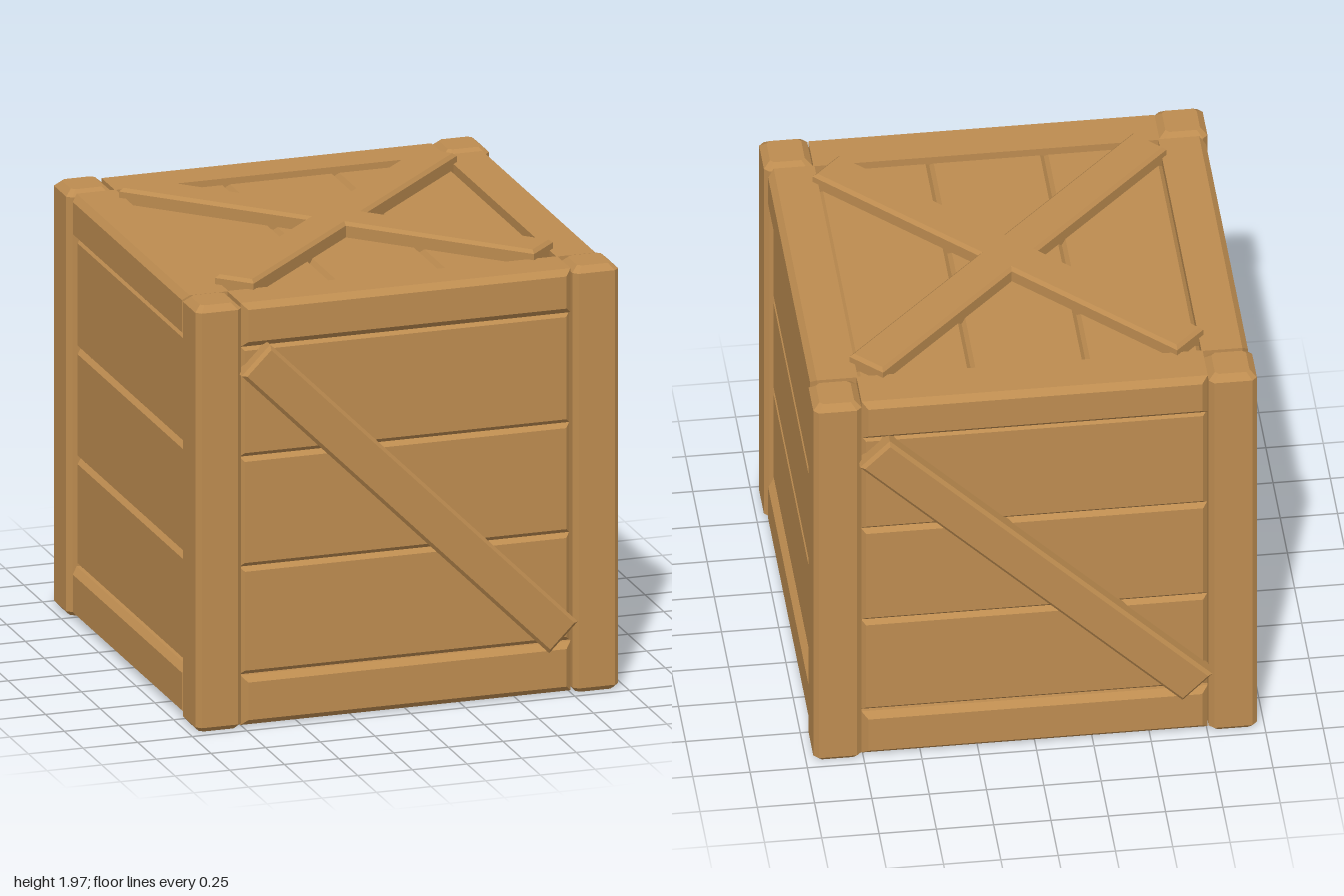
import * as THREE from 'three';

const wood = new THREE.MeshStandardMaterial({ color: 0xbd8c50, side: THREE.DoubleSide });
wood.name = 'warm wood';

// Skin between cross-sections: each is { pts: [[x, y]...] counter-clockwise, z }
function loft(rings, { closed = true, capStart = false, capEnd = true } = {}) {
  const pos = [];
  const at = (r, j) => [...r.pts[j % r.pts.length], r.z];
  const tri = (a, b, c) => pos.push(...a, ...b, ...c);
  const n = rings[0].pts.length;
  for (let i = 0; i < rings.length - 1; i++) {
    for (let j = 0; j < (closed ? n : n - 1); j++) {
      const a = at(rings[i], j), b = at(rings[i], j + 1);
      const c = at(rings[i + 1], j + 1), d = at(rings[i + 1], j);
      tri(a, b, c);
      tri(a, c, d);
    }
  }
  const first = rings[0], last = rings[rings.length - 1];
  for (let j = 1; j < n - 1; j++) {
    if (capEnd) tri(at(last, 0), at(last, j), at(last, j + 1));
    if (capStart) tri(at(first, 0), at(first, j + 1), at(first, j));
  }
  const geo = new THREE.BufferGeometry();
  geo.setAttribute('position', new THREE.Float32BufferAttribute(pos, 3));
  geo.computeVertexNormals();
  return geo;
}

function add(parent, geo, name) {
  const mesh = new THREE.Mesh(geo, wood);
  mesh.name = name;
  parent.add(mesh);
  return mesh;
}

// Board facing +z between z0 and z1, with a chamfered face
function board(w, h, z0, z1, bevel, capStart = false) {
  const rect = (d) => {
    const x = w / 2 - d, y = h / 2 - d;
    return [[-x, -y], [x, -y], [x, y], [-x, y]];
  };
  return loft([
    { pts: rect(0), z: z0 },
    { pts: rect(0), z: z1 - bevel },
    { pts: rect(bevel), z: z1 },
  ], { capStart });
}

const SPAN = 1.51;      // clear width between posts
const TOP = 1.925;      // top of the rails

// One side wall: rails, planks and, if wanted, a diagonal brace
function makeWall(name, braced) {
  const wall = new THREE.Group();
  wall.name = name;
  const bottomRail = add(wall, board(SPAN, 0.225, 0.9, 0.955, 0.027), 'bottomRail');
  bottomRail.position.y = 0.1175;
  const topRail = add(wall, board(SPAN, TOP - 1.725, 0.75, 0.955, 0.027, true), 'topRail');
  topRail.position.y = (TOP + 1.725) / 2;
  const seams = [0.23, 0.72, 1.22, 1.725];
  for (let i = 0; i < 3; i++) {
    const plank = add(wall, board(SPAN, seams[i + 1] - seams[i], 0.9, 0.93, 0.02), 'wallPlank');
    plank.position.y = (seams[i] + seams[i + 1]) / 2;
  }
  if (braced) {
    const brace = add(wall, board(1.99, 0.185, 0.92, 1.0, 0.015, true), 'diagonalBrace');
    brace.position.y = 0.972;
    brace.rotation.z = -Math.PI / 4;
  }
  return wall;
}

// Corner post: hollow angle section with a solid chamfered head
function makePost() {
  const post = new THREE.Group();
  post.name = 'cornerPost';
  const h = 0.105, c = 0.022, centre = 0.8625;
  const place = (pts, s) => pts.map(([x, y]) => [centre + x * s, centre + y * s]);
  const angle = [[0.03, -h], [h - c, -h], [h, c - h], [h, h - c],
    [h - c, h], [c - h, h], [-h, h - c], [-h, 0.03]];
  const full = [...angle.slice(1, 7), [-h, c - h], [c - h, -h]];
  const shaft = loft([
    { pts: place(angle, 0.82), z: 0 },
    { pts: place(angle, 1), z: 0.022 },
    { pts: place(angle, 1), z: 1.72 },
  ], { closed: false, capEnd: false });
  const head = loft([
    { pts: place(full, 1), z: 1.72 },
    { pts: place(full, 1), z: 1.908 },
    { pts: place(full, 0.72), z: 1.935 },
  ]);
  add(post, shaft.rotateX(-Math.PI / 2), 'postShaft');
  add(post, head.rotateX(-Math.PI / 2), 'postHead');
  return post;
}

export function createModel() {
  const crate = new THREE.Group();
  crate.name = 'woodenCrate';

  // Four walls and four posts, turned around the centre
  ['frontWall', 'leftWall', 'backWall', 'rightWall'].forEach((name, i) => {
    const wall = makeWall(name, i % 2 === 0);
    const post = makePost();
    wall.rotation.y = post.rotation.y = i * Math.PI / 2;
    crate.add(wall, post);
  });

  // Lid, modelled facing +z and then turned upward
  const lid = new THREE.Group();
  lid.name = 'lid';
  for (let i = -1; i <= 1; i++) {
    const plank = add(lid, board(0.5, 1.51, 1.87, 1.9, 0.018), 'lidPlank');
    plank.position.x = i * 0.5;
  }
  for (const s of [-1, 1]) {
    const bar = add(lid, board(2.0, 0.185, 1.885, 1.968, 0.015, true), 'lidCrossBar');
    bar.rotation.z = s * Math.PI / 4;
  }
  lid.rotation.x = -Math.PI / 2;
  crate.add(lid);

  return crate;
}
